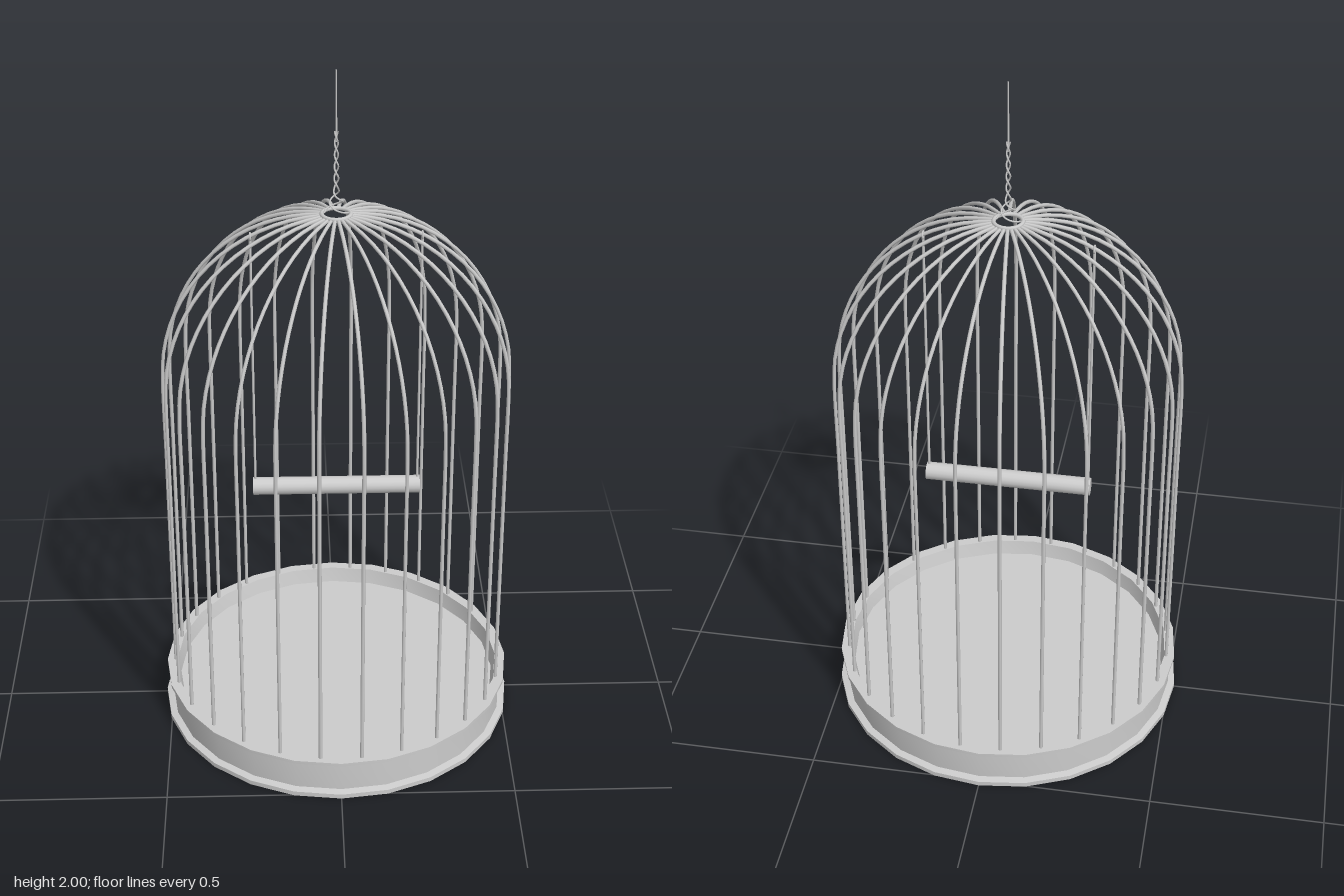
import * as THREE from 'three';
import { toCreasedNormals } from 'three/addons/utils/BufferGeometryUtils.js';

const BAR_COUNT = 26;
const BAR_RADIUS = 0.49; // distance of the upright bars from the axis
const SPRING_Y = 1.1; // where the dome begins

export function createModel() {
  const model = new THREE.Group();
  model.name = 'birdcage';
  const material = new THREE.MeshStandardMaterial({ color: 0xcccccc });

  function add(name, geometry, parent = model) {
    const mesh = new THREE.Mesh(geometry, material);
    mesh.name = name;
    parent.add(mesh);
    return mesh;
  }

  // Tube through a list of points
  function wire(points, radius, segments, sides = 6) {
    return new THREE.TubeGeometry(new THREE.CatmullRomCurve3(points), segments, radius, sides);
  }

  // Tray: foot flange, wall, rolled rim and raised floor
  const profile = [
    [0, 0], [0.52, 0], [0.52, 0.014], [0.5, 0.018], [0.5, 0.11], [0.515, 0.112],
    [0.515, 0.122], [0.485, 0.122], [0.475, 0.076], [0, 0.076],
  ].map(([x, y]) => new THREE.Vector2(x, y));
  add('tray', toCreasedNormals(new THREE.LatheGeometry(profile, 24), 0.5));

  // Bars: straight upright, then a quarter circle to the crown
  const barPoints = [0.09, 0.35, 0.6, 0.85].map((y) => new THREE.Vector3(BAR_RADIUS, y, 0));
  for (let i = 0; i <= 10; i++) {
    const a = (i / 10) * 1.49;
    barPoints.push(new THREE.Vector3(
      Math.cos(a) * BAR_RADIUS, SPRING_Y + Math.sin(a) * BAR_RADIUS, 0));
  }
  const barGeometry = wire(barPoints, 0.0055, 40);
  const bars = new THREE.Group();
  bars.name = 'bars';
  model.add(bars);
  for (let i = 0; i < BAR_COUNT; i++) {
    add('bar', barGeometry, bars).rotation.y = (i / BAR_COUNT) * Math.PI * 2;
  }

  // Crown ring that gathers the bars
  const crown = add('crownRing', new THREE.TorusGeometry(0.04, 0.006, 8, 24));
  crown.rotation.x = Math.PI / 2;
  crown.position.y = 1.592;

  // Hanger: two wires that open around the crown and twist together above
  const hanger = new THREE.Group();
  hanger.name = 'hanger';
  model.add(hanger);
  for (const phase of [0, Math.PI]) {
    const points = [];
    for (let i = 0; i <= 48; i++) {
      const t = i / 48;
      const r = 0.004 + 0.026 * Math.max(0, 1 - t / 0.3) ** 1.3 + 0.003 * (1 - t);
      const a = phase + t * Math.PI * 7;
      points.push(new THREE.Vector3(Math.cos(a) * r, 1.595 + t * 0.235, Math.sin(a) * r));
    }
    add('twistedWire', wire(points, 0.0026, 120, 5), hanger);
  }
  const hangingWire = add('hangingWire', new THREE.CylinderGeometry(0.002, 0.003, 0.2, 6), hanger);
  hangingWire.position.y = 1.9;

  // Swing: a round perch on two wires looped over the dome bars
  const swing = new THREE.Group();
  swing.name = 'swing';
  model.add(swing);
  const perch = add('perch', new THREE.CylinderGeometry(0.026, 0.026, 0.484, 16), swing);
  perch.rotation.z = Math.PI / 2;
  perch.position.y = 0.735;
  for (const side of [-1, 1]) {
    const line = add('swingWire', new THREE.CylinderGeometry(0.004, 0.004, 0.79, 6), swing);
    line.position.set(side * 0.235, 1.125, 0);
    const loop = add('swingLoop', new THREE.TorusGeometry(0.01, 0.003, 6, 12), swing);
    loop.rotation.y = Math.PI / 2;
    loop.position.set(side * 0.235, 1.528, 0);
  }

  return model;
}
